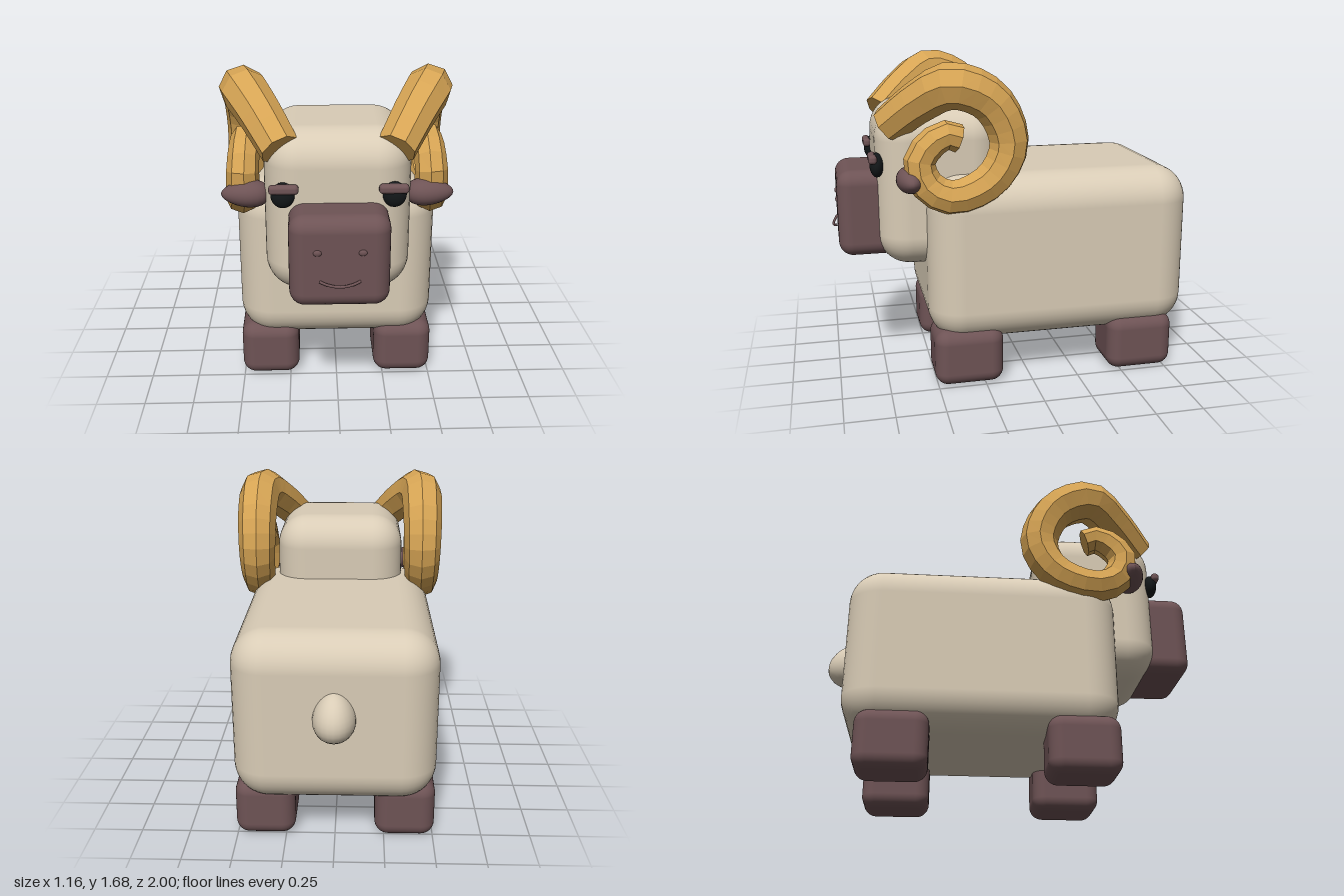
import * as THREE from 'three';
import { RoundedBoxGeometry } from 'three/addons/geometries/RoundedBoxGeometry.js';

const wool = new THREE.MeshStandardMaterial({ color: 0xd9ccb6 });
const hide = new THREE.MeshStandardMaterial({ color: 0x6e5355 });
const dark = new THREE.MeshStandardMaterial({ color: 0x14181a });
const gold = new THREE.MeshStandardMaterial({ color: 0xd6a454, flatShading: true });

// Rounded box given by its min and max corners
function block(name, min, max, radius, material) {
  const size = max.map((v, i) => v - min[i]);
  const mesh = new THREE.Mesh(new RoundedBoxGeometry(...size, 5, radius), material);
  mesh.position.set(...max.map((v, i) => (v + min[i]) / 2));
  mesh.name = name;
  return mesh;
}

// Ellipsoid; taper shrinks it towards +axis to make an egg
function egg(name, center, radii, material, axis = 'y', taper = 0) {
  const geometry = new THREE.SphereGeometry(1, 24, 16);
  const p = geometry.attributes.position;
  const v = new THREE.Vector3();
  for (let i = 0; i < p.count; i++) {
    v.fromBufferAttribute(p, i);
    const t = v[axis];
    v.multiplyScalar(1 - taper * t);
    v[axis] = t;
    v.multiply(new THREE.Vector3(...radii));
    p.setXYZ(i, v.x, v.y, v.z);
  }
  geometry.computeVertexNormals();
  const mesh = new THREE.Mesh(geometry, material);
  mesh.position.set(...center);
  mesh.name = name;
  return mesh;
}

// Curled horn: eight-sided tube of varying radius with closed ends
function hornGeometry(side) {
  const path = new THREE.CatmullRomCurve3([
    [0.27, 1.36, 0.70], [0.37, 1.49, 0.55], [0.455, 1.57, 0.40], [0.465, 1.49, 0.21],
    [0.465, 1.28, 0.12], [0.47, 1.10, 0.21], [0.48, 1.02, 0.41], [0.465, 1.08, 0.53],
    [0.46, 1.20, 0.57], [0.455, 1.29, 0.51], [0.45, 1.33, 0.43], [0.445, 1.31, 0.37],
  ].map(([x, y, z]) => new THREE.Vector3(x * side, y, z)));
  const segments = 28, sides = 8;
  const frames = path.computeFrenetFrames(segments);
  const radiusAt = (u) => u < 0.22
    ? THREE.MathUtils.lerp(0.098, 0.116, u / 0.22)
    : THREE.MathUtils.lerp(0.116, 0.072, (u - 0.22) / 0.78);
  const positions = [], index = [];
  for (let r = -1; r <= segments + 1; r++) {
    const k = THREE.MathUtils.clamp(r, 0, segments);
    const center = path.getPointAt(k / segments);
    const radius = r === k ? radiusAt(k / segments) : 0;
    for (let s = 0; s < sides; s++) {
      const a = ((s + 0.5) / sides) * Math.PI * 2;
      const v = center.clone()
        .addScaledVector(frames.normals[k], Math.cos(a) * radius)
        .addScaledVector(frames.binormals[k], Math.sin(a) * radius);
      positions.push(v.x, v.y, v.z);
    }
  }
  for (let r = 0; r < segments + 2; r++) {
    for (let s = 0; s < sides; s++) {
      const a = r * sides + s, b = r * sides + (s + 1) % sides;
      const c = a + sides, d = b + sides;
      if (r > 0) index.push(a, b, c);
      if (r === 0) index.push(a, d, c);
      else if (r <= segments) index.push(b, d, c);
    }
  }
  const geometry = new THREE.BufferGeometry();
  geometry.setAttribute('position', new THREE.Float32BufferAttribute(positions, 3));
  geometry.setIndex(index);
  geometry.computeVertexNormals();
  return geometry;
}

export function createModel() {
  const model = new THREE.Group();
  model.name = 'ram';

  // Body, head, muzzle and tail
  model.add(
    block('body', [-0.51, 0.22, -0.875], [0.51, 1.11, 0.53], 0.18, wool),
    block('head', [-0.355, 0.61, 0.11], [0.355, 1.45, 0.77], 0.17, wool),
    block('muzzle', [-0.237, 0.66, 0.6], [0.237, 1.117, 0.97], 0.075, hide),
    egg('tail', [0, 0.72, -0.86], [0.105, 0.125, 0.14], wool, 'y', 0.15),
  );

  // Smiling mouth
  const smile = new THREE.QuadraticBezierCurve3(
    new THREE.Vector3(-0.095, 0.81, 0.971),
    new THREE.Vector3(0, 0.774, 1.013),
    new THREE.Vector3(0.095, 0.81, 0.971));
  const mouth = new THREE.Mesh(new THREE.TubeGeometry(smile, 16, 0.007, 8), hide);
  mouth.name = 'mouth';
  model.add(mouth);

  for (const side of [1, -1]) {
    const label = side > 0 ? 'left' : 'right';

    // Legs
    for (const [end, z] of [['Front', 0.332], ['Back', -0.61]]) {
      const x = 0.355 * side;
      model.add(block(`${label}${end}Leg`, [x - 0.153, 0, z - 0.182], [x + 0.153, 0.303, z + 0.182], 0.07, hide));
    }

    // Face details
    const bx = 0.257 * side;
    model.add(
      egg(`${label}Eye`, [0.262 * side, 1.157, 0.765], [0.057, 0.063, 0.036], dark),
      block(`${label}Brow`, [bx - 0.07, 1.17, 0.765], [bx + 0.07, 1.216, 0.808], 0.018, hide),
      egg(`${label}Nostril`, [0.104 * side, 0.953, 0.968], [0.02, 0.016, 0.01], hide),
    );

    // Ear, narrowing away from the head
    const ear = egg(`${label}Ear`, [0.445 * side, 1.108, 0.612], [0.12, 0.066, 0.07], hide, 'x', 0.22 * side);
    model.add(ear);

    // Horn
    const horn = new THREE.Mesh(hornGeometry(side), gold);
    horn.name = `${label}Horn`;
    model.add(horn);
  }
  return model;
}
